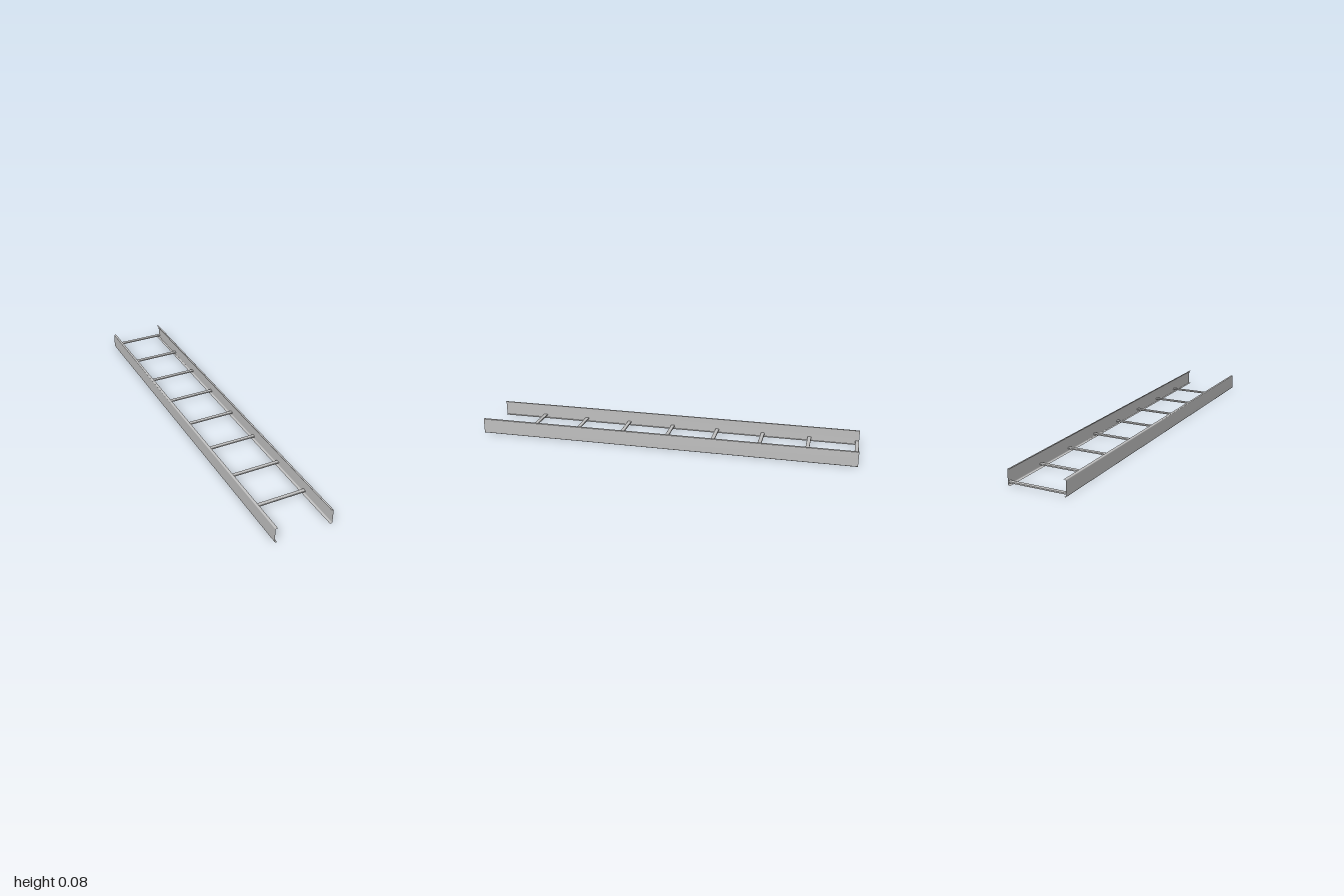
import * as THREE from 'three';

// Replaces each inner corner of an open polyline with a small arc
function roundCorners(points, radius, segments) {
  const pts = points.map(([x, y]) => new THREE.Vector2(x, y));
  const out = [pts[0]];
  for (let i = 1; i < pts.length - 1; i++) {
    const p = pts[i];
    const a = pts[i - 1].clone().sub(p).setLength(radius).add(p);
    const b = pts[i + 1].clone().sub(p).setLength(radius).add(p);
    out.push(...new THREE.QuadraticBezierCurve(a, p, b).getPoints(segments));
  }
  out.push(pts[pts.length - 1]);
  return out;
}

// Thin folded sheet: an open profile swept along z, centred on z = 0
function foldedSheet(profile, length) {
  const positions = [];
  const index = [];
  profile.forEach((p, i) => {
    positions.push(p.x, p.y, -length / 2, p.x, p.y, length / 2);
    if (i > 0) {
      const a = 2 * (i - 1), b = 2 * i;
      index.push(a, b, a + 1, b, b + 1, a + 1);
    }
  });
  const geometry = new THREE.BufferGeometry();
  geometry.setAttribute('position', new THREE.Float32BufferAttribute(positions, 3));
  geometry.setIndex(index);
  geometry.computeVertexNormals();
  return geometry;
}

export function createModel() {
  const model = new THREE.Group();
  model.name = 'cableLadder';
  const steel = new THREE.MeshStandardMaterial({ color: 0xc0c0c0, side: THREE.DoubleSide });
  steel.name = 'galvanisedSteel';

  // Side rails: C sections with the flanges turned inwards
  const railProfile = roundCorners([[0.138, 0], [0.15, 0], [0.15, 0.08], [0.138, 0.08]], 0.005, 4);
  const railGeometry = foldedSheet(railProfile, 2);
  for (const [name, turn] of [['leftRail', 0], ['rightRail', Math.PI]]) {
    const rail = new THREE.Mesh(railGeometry, steel);
    rail.name = name;
    rail.rotation.y = turn;
    model.add(rail);
  }

  // Rungs: shallow channels with small lips, open underneath
  const rungProfile = roundCorners([
    [0.0045, 0.012], [0.01, 0.012], [0.01, 0.0195],
    [-0.01, 0.0195], [-0.01, 0.012], [-0.0045, 0.012],
  ], 0.002, 3);
  const rungGeometry = foldedSheet(rungProfile, 0.3);
  rungGeometry.rotateY(Math.PI / 2);
  for (let i = 0; i < 8; i++) {
    const rung = new THREE.Mesh(rungGeometry, steel);
    rung.name = `rung${i + 1}`;
    rung.position.z = -0.99 + 0.25 * i;
    model.add(rung);
  }
  return model;
}
